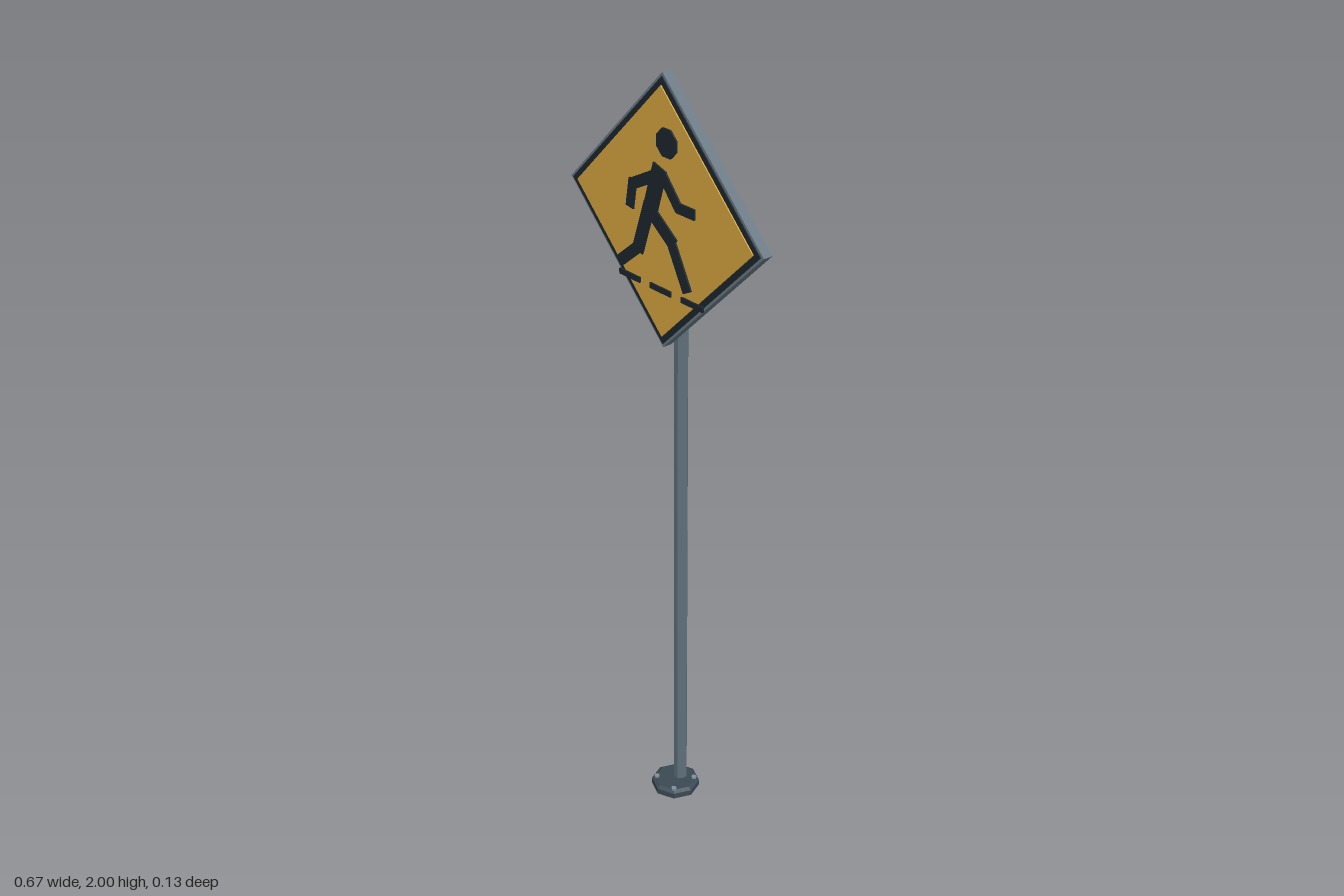
import * as THREE from 'three';

const material = (color) => new THREE.MeshStandardMaterial({ color, flatShading: true });

export function createModel() {
  const model = new THREE.Group();
  model.name = 'crossingSign';
  const steel = material(0x5f717c);
  const darkSteel = material(0x3b4a54);
  const bolt = material(0x80929c);
  const backing = material(0x6a7a85);
  const black = material(0x1c2830);
  const yellow = material(0xdcab40);

  function add(parent, name, geometry, mat, x, y, z) {
    const mesh = new THREE.Mesh(geometry, mat);
    mesh.name = name;
    mesh.position.set(x, y, z);
    parent.add(mesh);
    return mesh;
  }

  // Octagonal foot: straight rim with a bevelled top
  const foot = new THREE.Group();
  foot.name = 'foot';
  model.add(foot);
  add(foot, 'footRim', new THREE.CylinderGeometry(0.064, 0.064, 0.016, 8), darkSteel, 0, 0.008, 0);
  add(foot, 'footBevel', new THREE.CylinderGeometry(0.054, 0.064, 0.006, 8), darkSteel, 0, 0.019, 0);
  for (const x of [-0.035, 0.035]) {
    for (const z of [-0.036, 0.036]) {
      add(foot, 'footBolt', new THREE.CylinderGeometry(0.007, 0.007, 0.006, 8), bolt, x, 0.024, z);
    }
  }

  // Post
  const poleZ = -0.018;
  const pole = add(model, 'pole', new THREE.CylinderGeometry(0.018, 0.018, 1.745, 8), steel, 0, 0.8905, poleZ);
  pole.rotation.y = Math.PI / 8;

  // Clamps joining the post to the panel
  for (const y of [1.485, 1.743]) {
    add(model, 'clamp', new THREE.BoxGeometry(0.115, 0.036, 0.049), darkSteel, 0, y, -0.0115);
  }

  // Diamond panel in three layers
  const panel = new THREE.Group();
  panel.name = 'panel';
  panel.position.y = 1.667;
  model.add(panel);
  function diamond(name, halfDiagonal, back, front, mat) {
    const side = halfDiagonal * Math.SQRT2;
    const mesh = add(panel, name, new THREE.BoxGeometry(side, side, front - back), mat, 0, 0, (back + front) / 2);
    mesh.rotation.z = Math.PI / 4;
  }
  diamond('panelBack', 0.333, 0.013, 0.038, backing);
  diamond('panelBorder', 0.324, 0.037, 0.0405, black);
  diamond('panelFace', 0.304, 0.039, 0.0435, yellow);

  // Walking figure made of flat bars
  const figure = new THREE.Group();
  figure.name = 'walkingFigure';
  model.add(figure);
  const figureZ = 0.0455;
  const depth = 0.005;
  const head = add(figure, 'head', new THREE.CylinderGeometry(0.036, 0.036, depth, 8), black, 0.023, 1.845, figureZ);
  head.rotation.set(Math.PI / 2, Math.PI / 8, 0);

  // name, start x, start y, end x, end y, width
  const bars = [
    ['torso', 0.0, 1.783, -0.036, 1.667, 0.046],
    ['rearUpperArm', -0.005, 1.765, -0.1, 1.715, 0.028],
    ['rearForearm', -0.095, 1.727, -0.107, 1.657, 0.026],
    ['frontUpperArm', 0.008, 1.768, 0.065, 1.701, 0.028],
    ['frontForearm', 0.055, 1.704, 0.117, 1.704, 0.026],
    ['rearThigh', -0.037, 1.685, -0.08, 1.558, 0.036],
    ['rearShin', -0.073, 1.571, -0.143, 1.513, 0.028],
    ['frontThigh', -0.042, 1.676, 0.047, 1.61, 0.036],
    ['frontShin', 0.035, 1.62, 0.094, 1.508, 0.03],
  ];
  for (const [name, x1, y1, x2, y2, width] of bars) {
    const bar = add(figure, name, new THREE.BoxGeometry(Math.hypot(x2 - x1, y2 - y1), width, depth),
      black, (x1 + x2) / 2, (y1 + y2) / 2, figureZ);
    bar.rotation.z = Math.atan2(y2 - y1, x2 - x1);
  }

  // Dashed ground line
  for (const x of [-0.11, 0, 0.11]) {
    add(model, 'groundDash', new THREE.BoxGeometry(0.074, 0.014, depth), black, x, 1.484, figureZ);
  }

  return model;
}
